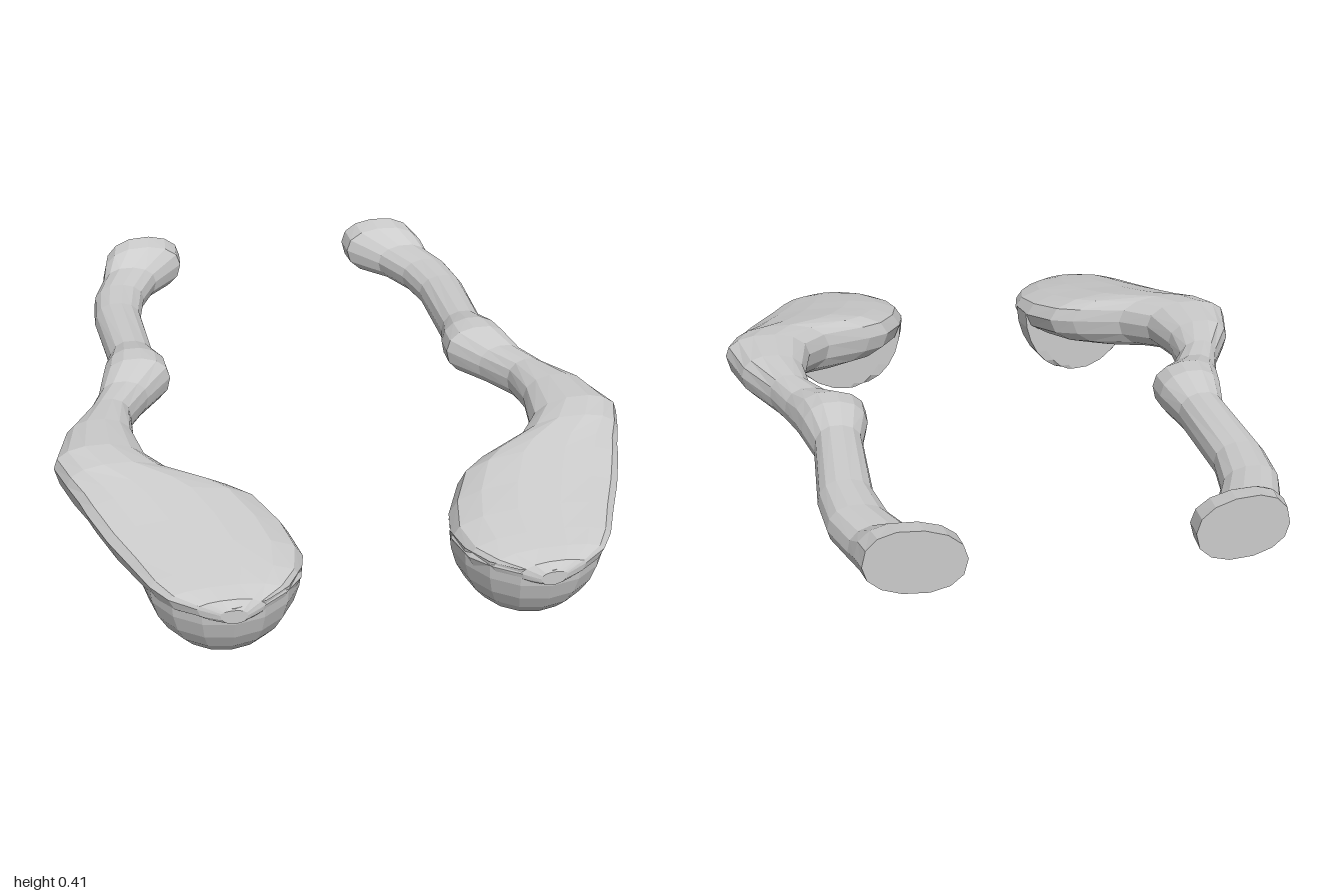
import * as THREE from 'three';

const { smoothstep, lerp } = THREE.MathUtils;
const SIDES = 14;

// Outline of the shaft and paddle, back to front: z, inner x, outer x, top y
const OUTLINE = [
  [-0.975, 0.29, 0.55, 0.415],
  [-0.91, 0.295, 0.562, 0.405],
  [-0.84, 0.39, 0.572, 0.365],
  [-0.72, 0.445, 0.61, 0.36],
  [-0.58, 0.47, 0.62, 0.36],
  [-0.28, 0.462, 0.6, 0.37],
  [-0.18, 0.435, 0.625, 0.395],
  [-0.11, 0.432, 0.64, 0.395],
  [-0.02, 0.51, 0.66, 0.37],
  [0.08, 0.57, 0.695, 0.37],
  [0.21, 0.577, 0.77, 0.38],
  [0.36, 0.55, 0.81, 0.385],
  [0.45, 0.48, 0.782, 0.375],
  [0.52, 0.34, 0.755, 0.36],
  [0.57, 0.275, 0.74, 0.35],
  [0.68, 0.22, 0.697, 0.326],
  [0.78, 0.2, 0.65, 0.307],
  [0.87, 0.222, 0.61, 0.288],
  [0.93, 0.27, 0.57, 0.275],
  [0.975, 0.335, 0.505, 0.262],
  [0.992, 0.38, 0.45, 0.24],
];

// One closed ring made of four elliptical quarters; the rules shift its widest points
function ring([z, inner, outer, top]) {
  const bottom = 0.235 - 0.085 * smoothstep(z, 0.2, 0.72) + 0.05 * smoothstep(z, 0.8, 1);
  const paddle = smoothstep(z, -0.1, 0.65);
  const innerY = lerp(bottom, top, 0.53);
  const outerY = lerp(bottom, top, lerp(0.45, 0.72, paddle));
  const topX = lerp(inner, outer, 0.54);
  const bottomX = lerp(inner, outer, lerp(0.5, 0.44, paddle));
  const skew = 0.12 * (1 - smoothstep(z, -0.95, -0.84));
  const soft = (v) => Math.sign(v) * Math.abs(v) ** 0.9;
  return Array.from({ length: SIDES }, (_, i) => {
    const a = (i / SIDES) * Math.PI * 2;
    const c = soft(Math.cos(a)), s = soft(Math.sin(a));
    const midX = s >= 0 ? topX : bottomX;
    const edgeY = c >= 0 ? outerY : innerY;
    const x = midX + c * (c >= 0 ? outer - midX : midX - inner);
    const y = edgeY + s * (s >= 0 ? top - edgeY : edgeY - bottom);
    return [x, y, z + skew * (x - (inner + outer) / 2)];
  });
}

// Skin the rings and cap both ends
function shaftGeometry() {
  const positions = OUTLINE.map(ring).flat(2);
  const index = [];
  const last = (OUTLINE.length - 1) * SIDES;
  for (let start = 0; start < last; start += SIDES) {
    for (let i = 0; i < SIDES; i++) {
      const a = start + i, b = start + ((i + 1) % SIDES);
      index.push(a, b, b + SIDES, a, b + SIDES, a + SIDES);
    }
  }
  for (let i = 1; i < SIDES - 1; i++) {
    index.push(0, i + 1, i, last, last + i, last + i + 1);
  }
  const geometry = new THREE.BufferGeometry();
  geometry.setAttribute('position', new THREE.Float32BufferAttribute(positions, 3));
  geometry.setIndex(index);
  return geometry;
}

// Lower half of an ellipsoid, with its back pressed flat on a slanted plane
function bulbGeometry() {
  const geometry = new THREE.SphereGeometry(1, 16, 7, 0, Math.PI * 2, Math.PI / 2, Math.PI / 2);
  geometry.scale(0.212, 0.245, 0.23);
  geometry.translate(0.413, 0.245, 0.76);
  const p = geometry.attributes.position;
  for (let i = 0; i < p.count; i++) {
    const plane = 0.725 + 0.18 * (p.getX(i) - 0.413);
    p.setZ(i, Math.max(p.getZ(i), plane));
  }
  return geometry;
}

// Reflect a geometry across x = 0, turning its faces back outward
function mirrored(geometry) {
  const copy = geometry.clone().scale(-1, 1, 1);
  copy.index.array.reverse();
  return copy;
}

export function createModel() {
  const model = new THREE.Group();
  model.name = 'pairedLimbs';
  const material = new THREE.MeshStandardMaterial({ color: 0xcccccc, flatShading: true });
  for (const [name, geometry] of [['Shaft', shaftGeometry()], ['Bulb', bulbGeometry()]]) {
    for (const [side, shape] of [['left', geometry], ['right', mirrored(geometry)]]) {
      shape.computeVertexNormals();
      const mesh = new THREE.Mesh(shape, material);
      mesh.name = side + name;
      model.add(mesh);
    }
  }
  return model;
}
